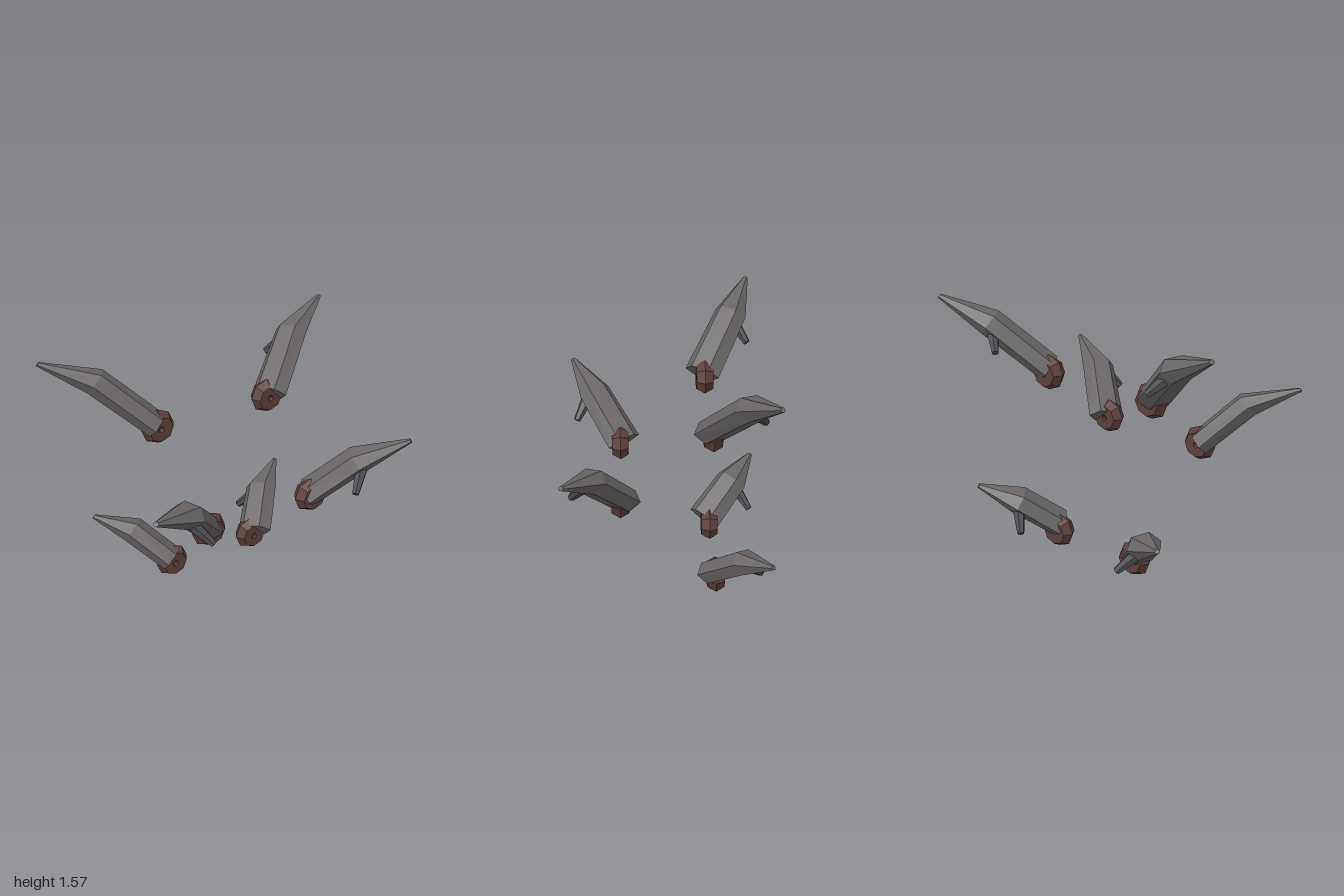
import * as THREE from 'three';

const V = (p, s) => new THREE.Vector3(p[0] * s, p[1], p[2]);
const mat = (color) => new THREE.MeshStandardMaterial({ color, flatShading: true });
const hornMat = mat(0x6a6666);
const ringMat = mat(0x5e3f3a);
const pegMat = mat(0x4e4e55);

// Flattened six-sided horn lofted through [centre, half width, half thickness] stations
function hornGeometry(stations, dir, hint) {
  const w = hint.clone().addScaledVector(dir, -hint.dot(dir)).normalize();
  const t = dir.clone().cross(w);
  const rings = stations.map(([c, a, b]) => Array.from({ length: 6 }, (_, j) => {
    const ang = j * Math.PI / 3;
    return c.clone().addScaledVector(w, Math.cos(ang) * a).addScaledVector(t, Math.sin(ang) * b);
  }));
  const pos = [];
  const tri = (...pts) => pts.forEach((p) => pos.push(p.x, p.y, p.z));
  const last = rings.length - 1;
  for (let j = 0; j < 6; j++) {
    const k = (j + 1) % 6;
    for (let i = 0; i < last; i++) {
      tri(rings[i][j], rings[i][k], rings[i + 1][k]);
      tri(rings[i][j], rings[i + 1][k], rings[i + 1][j]);
    }
    tri(stations[0][0], rings[0][k], rings[0][j]);
    tri(stations[last][0], rings[last][j], rings[last][k]);
  }
  const g = new THREE.BufferGeometry();
  g.setAttribute('position', new THREE.Float32BufferAttribute(pos, 3));
  g.computeVertexNormals();
  return g;
}

// One limb: bent horn, thick ring at its root, small peg on its outer back
function makeLimb(spec, side) {
  const limb = new THREE.Group();
  limb.name = spec.name + (side > 0 ? 'Left' : 'Right');
  const base = V(spec.base, side), knee = V(spec.knee, side), tip = V(spec.tip, side);
  const dir = knee.clone().sub(base).normalize();
  const hint = V([0.5, 0.1, spec.tip[2] > 0 ? -0.85 : 0.85], side);

  const horn = new THREE.Mesh(hornGeometry([
    [base, 0.115, 0.075], [knee, 0.105, 0.08], [tip, 0.016, 0.014],
  ], dir, hint), hornMat);
  horn.name = 'horn';

  const ring = new THREE.Mesh(new THREE.TorusGeometry(0.05, 0.06, 6, 8), ringMat);
  ring.name = 'rootRing';
  ring.position.copy(V(spec.ring, side));

  const from = V(spec.peg[0], side), to = V(spec.peg[1], side);
  const axis = to.clone().sub(from);
  const peg = new THREE.Mesh(new THREE.CylinderGeometry(0.022, 0.04, axis.length(), 6), pegMat);
  peg.name = 'peg';
  peg.position.copy(from).addScaledVector(axis, 0.5);
  peg.quaternion.setFromUnitVectors(new THREE.Vector3(0, 1, 0), axis.normalize());

  limb.add(horn, ring, peg);
  return limb;
}

const LIMBS = [
  { name: 'upperLimb', base: [0.40, 1.145, -0.235], knee: [0.69, 1.425, -0.43], tip: [0.985, 1.56, -0.55],
    ring: [0.387, 1.125, -0.25], peg: [[0.65, 1.38, -0.45], [0.56, 1.28, -0.525]] },
  { name: 'middleLimb', base: [0.365, 0.69, 0.26], knee: [0.585, 0.94, 0.445], tip: [0.86, 1.055, 0.59],
    ring: [0.36, 0.685, 0.283], peg: [[0.58, 0.9, 0.49], [0.49, 0.785, 0.56]] },
  { name: 'lowerLimb', base: [0.315, 0.14, -0.26], knee: [0.49, 0.32, -0.45], tip: [0.69, 0.41, -0.59],
    ring: [0.30, 0.11, -0.29], peg: [[0.46, 0.27, -0.48], [0.375, 0.165, -0.56]] },
];

export function createModel() {
  const model = new THREE.Group();
  model.name = 'limbSet';
  for (const spec of LIMBS) for (const side of [1, -1]) model.add(makeLimb(spec, side));
  return model;
}
